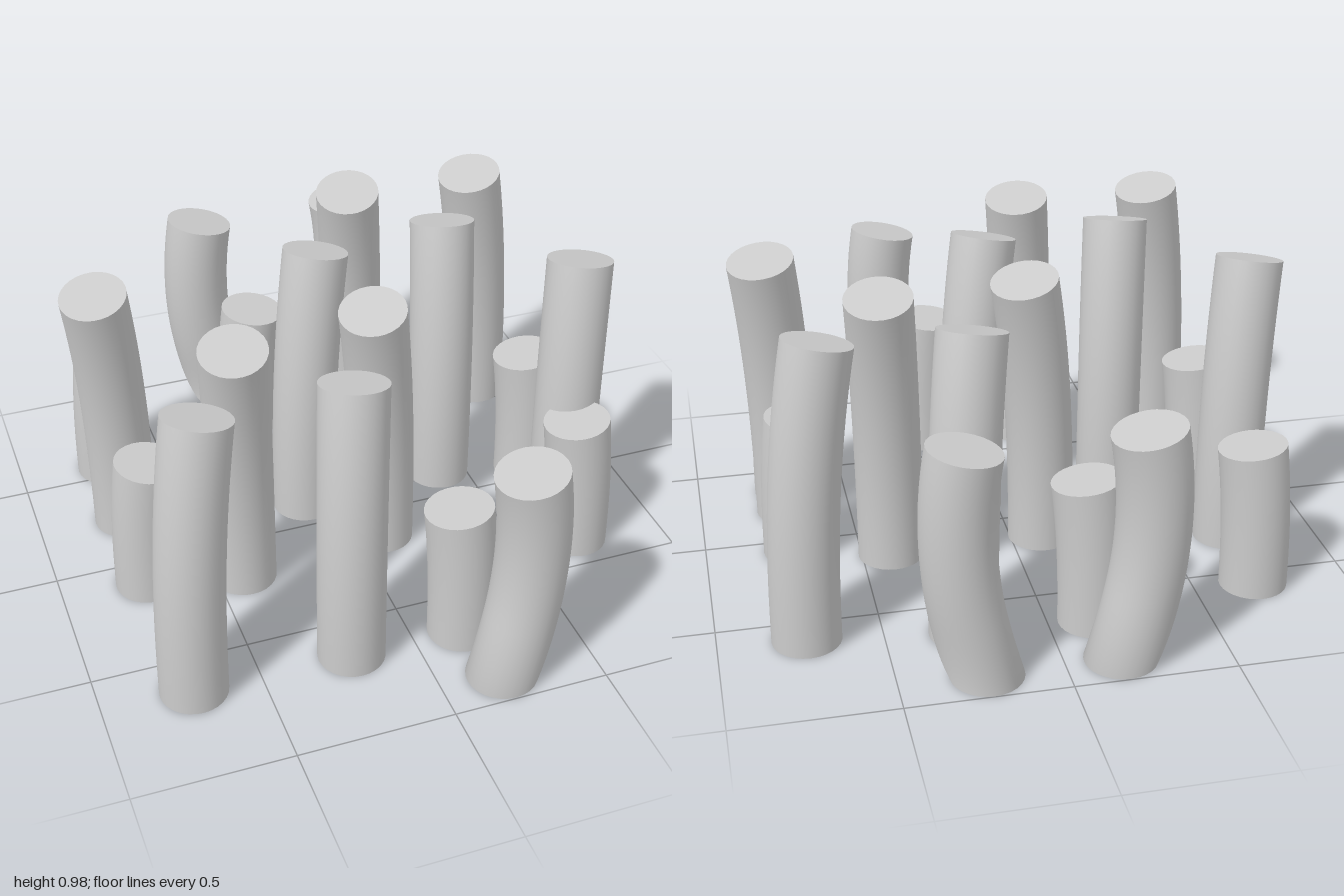
import * as THREE from 'three';

const UP = new THREE.Vector3(0, 1, 0);

// Bend rules: share of the sideways offset reached at height t (0..1), and its slope
const leaning = { f: t => t ** 2.4, d: t => 2.4 * t ** 1.4 };
const bowed = { f: t => 4.2 * t - 3.2 * t * t, d: t => (4.2 - 6.4 * t) * Math.min(1, t / 0.3) };

// A round column whose cross-sections follow a curved centre line
function column(name, radius, height, bend, [bx, bz, tx, tz]) {
  const geo = new THREE.CylinderGeometry(radius, radius, 1, 28, 18);
  const { position: pos, normal: nor } = geo.attributes;
  const dx = tx - bx, dz = tz - bz;
  const p = new THREE.Vector3(), n = new THREE.Vector3();
  const tangent = new THREE.Vector3(), turn = new THREE.Quaternion();
  for (let i = 0; i < pos.count; i++) {
    const t = pos.getY(i) + 0.5;
    tangent.set(dx * bend.d(t), height, dz * bend.d(t)).normalize();
    turn.setFromUnitVectors(UP, tangent);
    p.set(pos.getX(i), 0, pos.getZ(i)).applyQuaternion(turn);
    p.x += bx + dx * bend.f(t);
    p.y += height * t;
    p.z += bz + dz * bend.f(t);
    n.fromBufferAttribute(nor, i).applyQuaternion(turn);
    pos.setXYZ(i, p.x, Math.max(0, p.y), p.z);
    nor.setXYZ(i, n.x, n.y, n.z);
  }
  const mesh = new THREE.Mesh(geo, new THREE.MeshStandardMaterial({ color: 0xcccccc }));
  mesh.name = name;
  return mesh;
}

export function createModel() {
  const group = new THREE.Group();
  group.name = 'columnCluster';

  // Each row: base x, base z, top x, top z
  const tall = [
    [0.26, -0.65, 0.205, -0.545], [0.73, -0.59, 0.65, -0.535],
    [-0.705, -0.25, -0.765, -0.165], [-0.10, -0.13, -0.025, -0.205],
    [0.405, -0.145, 0.435, -0.255], [-0.41, 0.17, -0.445, 0.275],
    [0.09, 0.12, 0.02, 0.205], [0.705, 0.215, 0.755, 0.13],
    [-0.71, 0.635, -0.635, 0.565], [-0.205, 0.645, -0.165, 0.55],
  ];
  const medium = [
    [-0.17, -0.885, -0.235, -0.876], [0.235, -0.886, 0.295, -0.886],
    [0.20, 0.884, 0.262, 0.868],
  ];
  const short = [
    [-0.14, -0.665, -0.115, -0.655], [-0.695, -0.56, -0.67, -0.55],
    [-0.715, 0.10, -0.69, 0.11], [0.705, -0.06, 0.68, -0.07],
    [0.70, 0.355, 0.675, 0.35], [0.16, 0.655, 0.14, 0.645],
  ];

  tall.forEach((row, i) => group.add(column(`tallColumn${i + 1}`, 0.107, 0.95, leaning, row)));
  medium.forEach((row, i) => group.add(column(`mediumColumn${i + 1}`, 0.112, 0.745, bowed, row)));
  short.forEach((row, i) => group.add(column(`shortColumn${i + 1}`, 0.108, 0.485, leaning, row)));
  return group;
}
